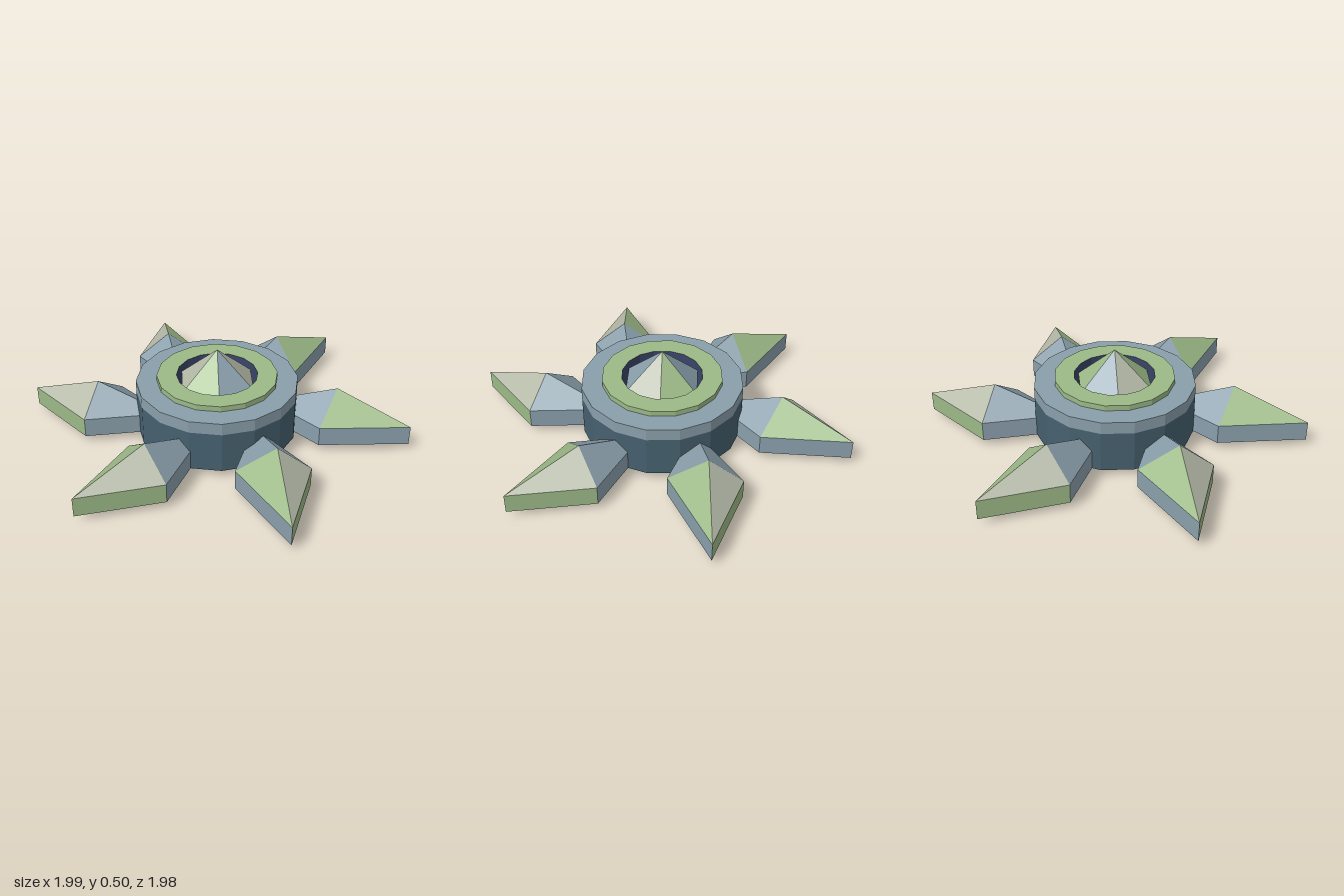
import * as THREE from 'three';

const COLORS = { green: 0x9cb987, beige: 0xb3b8a6, blue: 0x8a9fab, slate: 0x46616f, navy: 0x3a4568, dark: 0x34454e };
const mats = {};
for (const [key, color] of Object.entries(COLORS)) {
  mats[key] = new THREE.MeshStandardMaterial({ color, flatShading: true, side: THREE.DoubleSide });
}

function named(geometry, color, name) {
  const mesh = new THREE.Mesh(geometry, mats[color]);
  mesh.name = name;
  return mesh;
}

// Faceted surface of revolution; points run from bottom to top on the outside
function lathe(points, color, name, sides = 16, start = 0, length = Math.PI * 2) {
  const profile = points.map(([r, y]) => new THREE.Vector2(r, y));
  return named(new THREE.LatheGeometry(profile, sides, start, length), color, name);
}

// Kite-shaped blade: raised peak above, shallow peak below, upright rim
function createBlade() {
  const blade = new THREE.Group();
  const corners = [[-0.43, -0.57], [-0.28, -0.99], [-0.055, -0.57], [-0.18, -0.21]];
  const at = ([x, z], y) => [x, y, z];
  const centre = [-0.255, -0.585];
  const peak = at(centre, 0.285), keel = at(centre, 0.005);
  const top = 0.145, bottom = 0.04;
  const topColors = ['beige', 'green', 'blue', 'blue'];
  const sideColors = ['green', 'blue', 'blue', 'blue'];
  const faces = {};
  const add = (color, ...points) => (faces[color] ??= []).push(...points.flat());
  corners.forEach((a, i) => {
    const b = corners[(i + 1) % 4];
    const aT = at(a, top), bT = at(b, top), aB = at(a, bottom), bB = at(b, bottom);
    add(topColors[i], peak, bT, aT);
    add(sideColors[i], bB, aB, aT, bB, aT, bT);
    add('dark', keel, aB, bB);
  });
  for (const [color, positions] of Object.entries(faces)) {
    const g = new THREE.BufferGeometry();
    g.setAttribute('position', new THREE.Float32BufferAttribute(positions, 3));
    g.computeVertexNormals();
    blade.add(named(g, color, color + 'BladeFacets'));
  }
  return blade;
}

export function createModel() {
  const model = new THREE.Group();
  model.name = 'bladedRing';

  // Hollow hub, open underneath
  const hub = new THREE.Group();
  hub.name = 'hub';
  hub.add(
    lathe([[0.43, 0.04], [0.43, 0.26]], 'slate', 'hubWall'),
    lathe([[0.43, 0.26], [0.43, 0.325], [0.32, 0.325]], 'blue', 'hubRim'),
    lathe([[0.32, 0.325], [0.32, 0.355], [0.215, 0.355]], 'green', 'collar'),
    lathe([[0.215, 0.355], [0.215, 0.04]], 'navy', 'innerTube')
  );
  model.add(hub);

  // Six-sided jewel in the middle
  const jewel = new THREE.Group();
  jewel.name = 'jewel';
  const crown = ['blue', 'beige', 'green'];
  for (let i = 0; i < 6; i++) {
    jewel.add(lathe([[0.215, 0.31], [0, 0.5]], crown[i % 3], 'crownFacet', 1, i * Math.PI / 3, Math.PI / 3));
  }
  jewel.add(lathe([[0, 0.13], [0.065, 0.13], [0.13, 0.08], [0.215, 0.31]], 'beige', 'jewelBase', 6));
  model.add(jewel);

  // Six blades around the hub
  for (let i = 0; i < 6; i++) {
    const blade = createBlade();
    blade.name = 'blade';
    blade.rotation.y = i * Math.PI / 3;
    model.add(blade);
  }
  return model;
}
